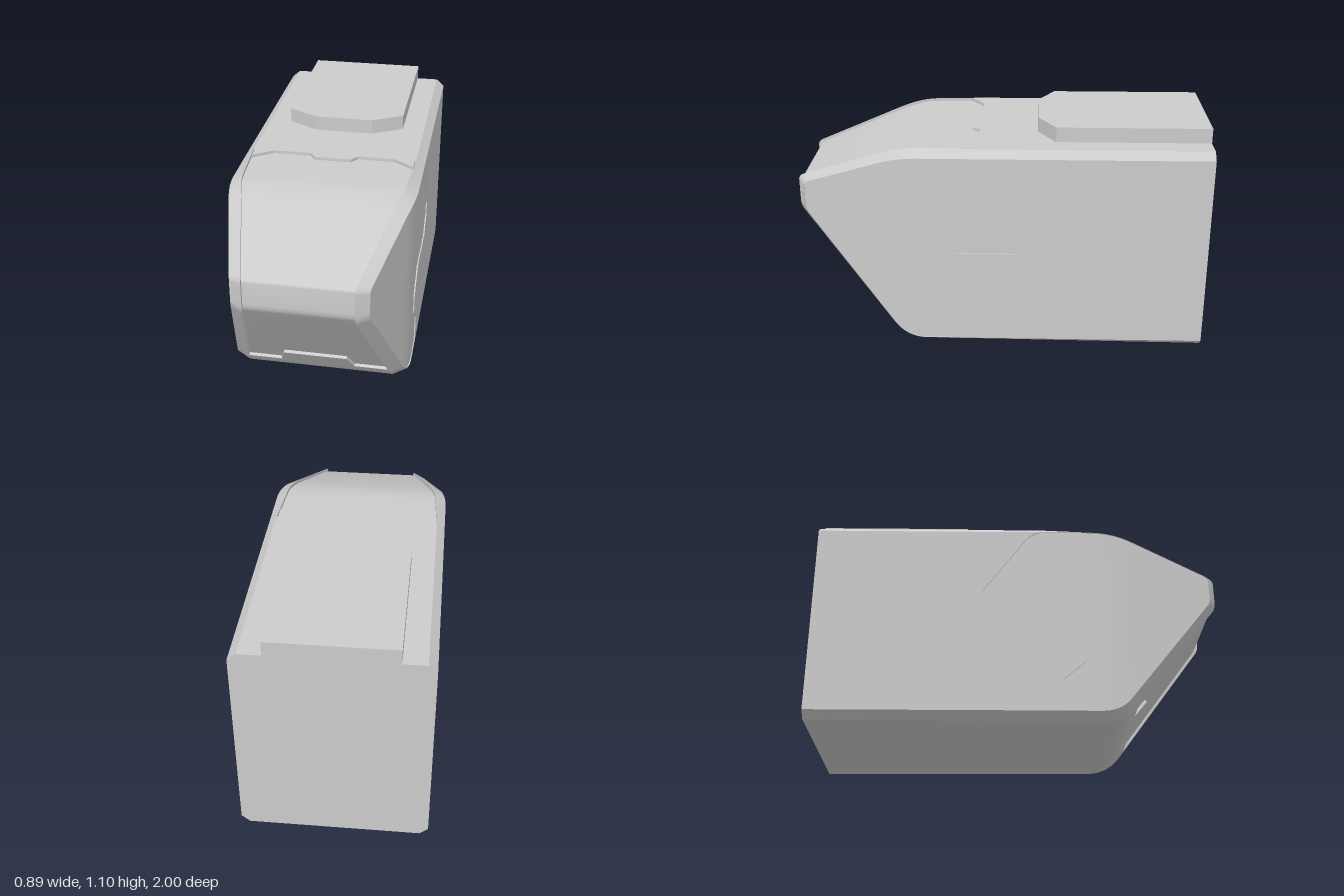
import * as THREE from 'three';
import { toCreasedNormals } from 'three/addons/utils/BufferGeometryUtils.js';

const mat = new THREE.MeshStandardMaterial({ color: 0xcccccc });
const STEP = 0.015; // depth of the nose plate below its rim
const SIDE = 0.006; // depth of the side cheeks below the rim

// Half width of the hull and of the centre plate along z
function hullX(z) {
  const d = z - 0.44, h = 0.1;
  const soft = d < -h ? 0 : d > h ? d : (d + h) ** 2 / (4 * h);
  return 0.445 - soft * 0.257;
}
function plateX(z) {
  if (z < 0.11) return 0.405;
  if (z < 0.42) return 0.405 - (z - 0.11) * 0.065;
  return 0.385 - (z - 0.42) * 0.233;
}

// Side profile corners: inner z, y, outer z, y, rounding
const corners = [
  [-1, 1.03, -1, 0.995, 0],
  [0.11, 1.03, 0.11, 0.995, 0],
  [0.46, 1.03, 0.48, 0.995, 0.11],
  [1, 0.83, 0.965, 0.815, 0.025],
  [1, 0.67, 0.965, 0.675, 0.03],
  [0.573, 0.11, 0.55, 0.132, 0],
  [0.49, 0, 0.476, 0.035, 0.1],
  [-1, 0, -1, 0.035, 0],
];

function roundedProfile() {
  const out = [];
  const v = (c) => new THREE.Vector4(...c.slice(0, 4));
  corners.forEach((c, i) => {
    const p = v(c), r = c[4];
    if (!r) return out.push({ p, step: i === 1 || i === 5 });
    const toward = (q) => p.clone().lerp(q, r / Math.hypot(q.x - p.x, q.y - p.y));
    const a = toward(v(corners[i - 1])), b = toward(v(corners[i + 1]));
    for (let k = 0; k <= 8; k++) {
      const t = k / 8;
      out.push({ p: a.clone().lerp(p, t).lerp(p.clone().lerp(b, t), t) });
    }
  });
  return out;
}

function meshFrom(name, geometry) {
  const m = new THREE.Mesh(geometry, mat);
  m.name = name;
  return m;
}

function fromQuads(quads, crease) {
  const pos = [];
  const tri = (a, b, c) => {
    if (new THREE.Triangle(a, b, c).getArea() > 1e-9) for (const p of [a, b, c]) pos.push(p.x, p.y, p.z);
  };
  for (const [a, b, c, d] of quads) {
    tri(a, b, c);
    tri(a, c, d);
  }
  const g = new THREE.BufferGeometry();
  g.setAttribute('position', new THREE.Float32BufferAttribute(pos, 3));
  return toCreasedNormals(g, crease);
}

// Top, nose and underside with raised rims around a sunken plate
function shell(profile) {
  const rings = [];
  let sunk = 0;
  profile.forEach(({ p, step }, i) => {
    const a = profile[Math.max(i - 1, 0)].p, b = profile[Math.min(i + 1, profile.length - 1)].p;
    const n = new THREE.Vector2(-(b.y - a.y), b.x - a.x).normalize(); // (z, y)
    const ring = (depth) => {
      const w = hullX(p.z), x = plateX(p.x);
      const half = [
        [w - SIDE, p.w, p.z],
        [w, p.w, p.z],
        [x, p.y, p.x],
        [x, p.y - n.y * depth, p.x - n.x * depth],
      ];
      const mirrored = half.map(([hx, y, z]) => [-hx, y, z]).reverse();
      rings.push([...half, ...mirrored].map((c) => new THREE.Vector3(...c)));
    };
    ring(sunk);
    if (step) {
      sunk = sunk ? 0 : STEP;
      ring(sunk);
    }
  });
  const quads = [];
  for (let i = 0; i + 1 < rings.length; i++)
    for (let j = 0; j < 7; j++)
      quads.push([rings[i][j], rings[i][j + 1], rings[i + 1][j + 1], rings[i + 1][j]]);
  return fromQuads(quads, 0.3);
}

// Flat cheek following the hull width
function cheek(profile, side) {
  const pts = profile.map(({ p }) => [p.z, p.w]);
  const top = pts.filter((q) => q[1] > 0.745);
  const bottom = pts.filter((q) => q[1] <= 0.745).reverse();
  const heightAt = (line, z) => {
    let i = 1;
    while (i < line.length - 1 && line[i][0] < z) i++;
    const [z0, y0] = line[i - 1], [z1, y1] = line[i];
    return y0 + ((y1 - y0) * (z - z0)) / (z1 - z0);
  };
  const zs = [...pts.map((q) => q[0]), 0.34, 0.37, 0.4, 0.43].sort((a, b) => a - b)
    .filter((z, i, all) => i === 0 || z - all[i - 1] > 1e-6);
  const at = (line, z) => new THREE.Vector3(side * (hullX(z) - SIDE), heightAt(line, z), z);
  const quads = [];
  for (let i = 0; i + 1 < zs.length; i++) {
    const q = [at(bottom, zs[i]), at(top, zs[i]), at(top, zs[i + 1]), at(bottom, zs[i + 1])];
    quads.push(side > 0 ? q : q.reverse());
  }
  return fromQuads(quads, 0.3);
}

const shapeOf = (pts) => new THREE.Shape(pts.map((p) => new THREE.Vector2(...p)));
const extrude = (pts, depth) => new THREE.ExtrudeGeometry(shapeOf(pts), { depth, bevelEnabled: false });

// Slab lying flat, outline in (x, z)
function flatSlab(name, outline, y0, y1) {
  const g = extrude(outline.map(([x, z]) => [x, -z]), y1 - y0);
  return meshFrom(name, g.rotateX(-Math.PI / 2).translate(0, y0, 0));
}

export function createModel() {
  const model = new THREE.Group();
  model.name = 'wedgeNosedHousing';
  const profile = roundedProfile();
  model.add(meshFrom('shell', shell(profile)));

  // Rear wall
  const wall = [[0.405, 1.03], [-0.405, 1.03], [-0.445, 0.995], [-0.445, 0.035],
    [-0.405, 0], [0.405, 0], [0.445, 0.035], [0.445, 0.995]];
  model.add(meshFrom('rearWall', new THREE.ShapeGeometry(shapeOf(wall)).rotateY(Math.PI).translate(0, 0, -1)));

  // Cheeks and the stepped side plates behind them, outline in (z, y)
  const sidePlate = [[-1, 0.035], [0.21, 0.035], [0.21, 0.19], [0.325, 0.29], [0.325, 0.4],
    [0.22, 0.505], [-0.09, 0.505], [-0.175, 0.59], [-0.175, 0.66], [0.04, 0.955],
    [0.07, 0.98], [0.11, 0.995], [-1, 0.995]];
  for (const side of [1, -1]) {
    const label = side > 0 ? 'left' : 'right';
    model.add(meshFrom(label + 'Cheek', cheek(profile, side)));
    const g = extrude(sidePlate.map(([z, y]) => [-z, y]), 0.012).rotateY(Math.PI / 2);
    model.add(meshFrom(label + 'SidePlate', g.translate(side > 0 ? 0.433 : -0.445, 0, 0)));
    // Corner of the top seam
    model.add(flatSlab(label + 'SeamCorner',
      [[side * 0.3, 0.11], [side * 0.398, 0.11], [side * 0.398, 0.18]], 1.005, 1.03));
  }

  // Tab in the middle of the top seam
  model.add(flatSlab('topSeamTab', [[-0.12, 0.105], [-0.09, 0.15], [0.09, 0.15], [0.12, 0.105]], 1.005, 1.03));

  // Tab on the sloping chin
  const chin = meshFrom('chinTab', extrude([[-0.185, -0.005], [0.185, -0.005], [0.155, 0.113], [-0.155, 0.113]], 0.025));
  chin.geometry.translate(0, 0, -0.025);
  chin.position.set(0, 0.11, 0.573);
  chin.rotation.x = Math.atan2(0.427, 0.56);
  model.add(chin);

  // Raised pad on the roof
  model.add(flatSlab('roofPad', [[-0.295, -1], [-0.295, -0.26], [-0.145, -0.175],
    [0.145, -0.175], [0.295, -0.26], [0.295, -1]], 1.02, 1.103));
  return model;
}
